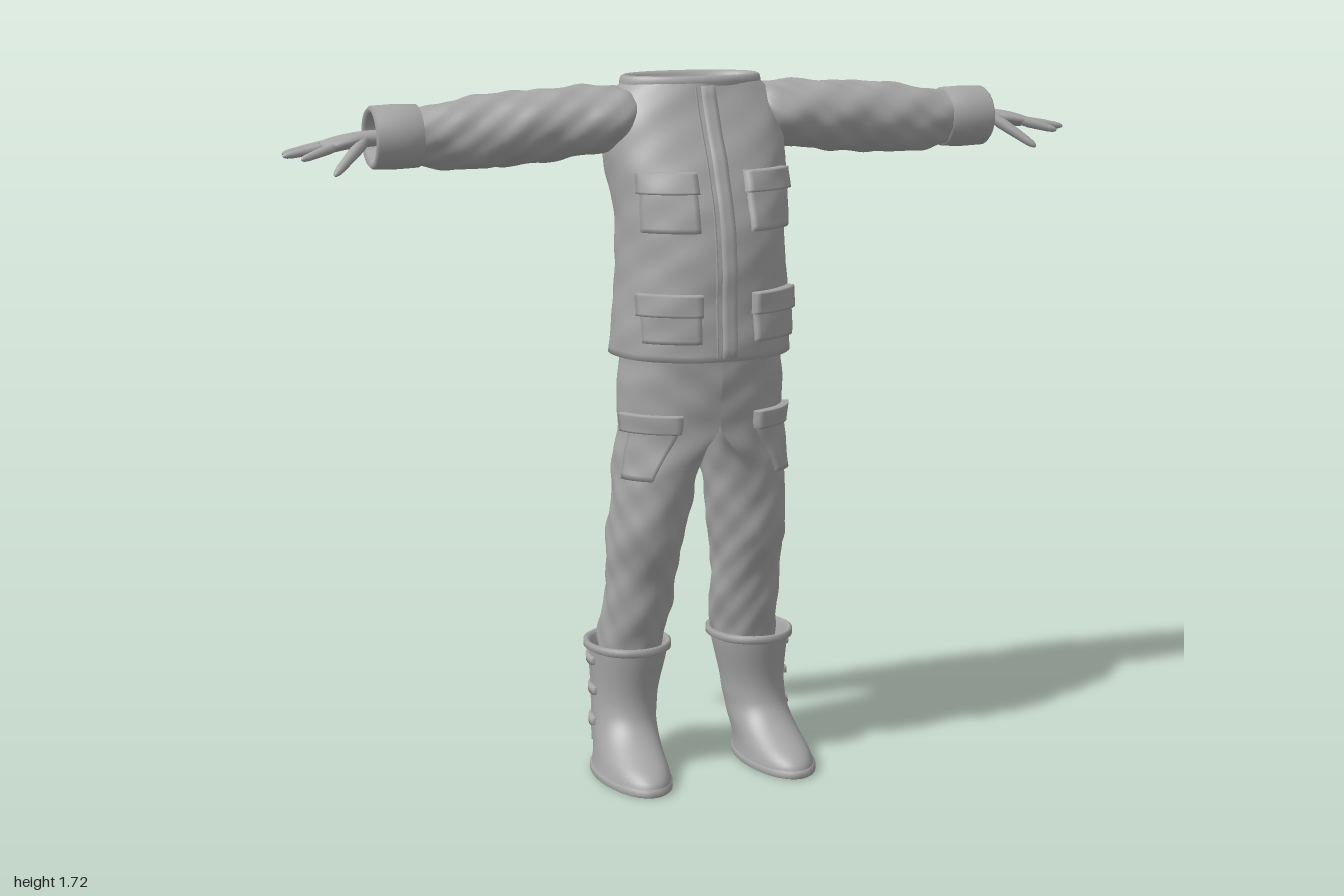
import * as THREE from 'three';

const cloth = new THREE.MeshStandardMaterial({ color: 0xa6a6a6, side: THREE.DoubleSide });
cloth.name = 'plain grey';
const V = (x, y, z) => new THREE.Vector3(x, y, z);
const span = (a, b, n) => Array.from({ length: n + 1 }, (_, i) => a + (b - a) * i / n);

// Skin a grid of points; rows run along the part, columns run round it
function loft(rows, { closed = true, cap = false, skip = null } = {}) {
  const n = rows[0].length, pos = [], idx = [];
  rows.forEach(r => r.forEach(p => pos.push(p.x, p.y, p.z)));
  for (let i = 0; i < rows.length - 1; i++) {
    for (let j = 0; j < (closed ? n : n - 1); j++) {
      const k = (j + 1) % n, a = i * n + j, b = i * n + k, c = a + n, d = b + n;
      if (skip && [rows[i][j], rows[i][k], rows[i + 1][j], rows[i + 1][k]].every(skip)) continue;
      idx.push(a, c, b, b, c, d);
    }
  }
  if (cap) [0, rows.length - 1].forEach(i => {
    const m = rows[i].reduce((s, p) => s.add(p), V(0, 0, 0)).divideScalar(n);
    const base = pos.length / 3;
    rows[i].forEach(p => pos.push(p.x, p.y, p.z));
    pos.push(m.x, m.y, m.z);
    for (let j = 0; j < n; j++) {
      const k = (j + 1) % n;
      idx.push(base + n, base + (i ? k : j), base + (i ? j : k));
    }
  });
  const g = new THREE.BufferGeometry();
  g.setAttribute('position', new THREE.Float32BufferAttribute(pos, 3));
  g.setIndex(idx);
  g.computeVertexNormals();
  return g;
}

function add(parent, name, geometry) {
  const m = new THREE.Mesh(geometry, cloth);
  m.name = name;
  parent.add(m);
}

// Smooth oval section from rows of [t, a0, a1, bFront, bBack, power]; lying runs along x, else along y
function section(table, amp = 0, lying = false) {
  const curve = new THREE.CubicInterpolant(table.map(r => r[0]), table.flatMap(r => r.slice(1)), table[0].length - 1);
  const dims = t => {
    const [a0, a1, f, b, n = 2] = curve.evaluate(t);
    return { ac: (a0 + a1) / 2, A: (a1 - a0) / 2, bc: (f + b) / 2, B: (f - b) / 2, n };
  };
  const at = (u, t, off = 0) => {
    const { ac, A, bc, B, n } = dims(t);
    const pw = c => Math.sign(c) * Math.abs(c) ** (2 / n);
    const w = off + amp * (Math.sin(3 * u + 27 * t) + 0.7 * Math.sin(5 * u - 46 * t + 1) + 0.6 * Math.sin(8 * u + 71 * t));
    const a = ac + (A + w) * pw(Math.cos(u)), b = (B + w) * pw(Math.sin(u));
    return lying ? V(t, a, bc - b) : V(a, t, bc + b);
  };
  const clamp = v => Math.max(-1, Math.min(1, v));
  const root = (v, n) => Math.sign(v) * Math.abs(v) ** (n / 2);
  at.byX = x => t => { const d = dims(t); return Math.acos(root(clamp((x - d.ac) / d.A), d.n)); };
  at.byZ = z => t => { const d = dims(t); return Math.asin(root(clamp((z - d.bc) / d.B), d.n)); };
  return at;
}
const skin = (at, t0, t1, rows, cols) => span(t0, t1, rows).map(t => span(0, Math.PI * 2, cols).slice(0, -1).map(u => at(u, t)));

// Raised panel that follows a section between two edges and two heights
function panel(at, u0, u1, y0, y1, thick, nu = 12, ny = 10) {
  const us = [0, ...span(0, 1, nu), 1], ys = [0, ...span(0, 1, ny), 1];
  return loft(ys.map((v, i) => us.map((s, j) => {
    const y = y0 + (y1 - y0) * v, edge = !i || !j || i === ys.length - 1 || j === us.length - 1;
    return at(u0(y) + (u1(y) - u0(y)) * s, y, edge ? -0.004 : thick);
  })), { closed: false });
}

// Rolled edge from rows of [t, ra, rb]
const rolled = (rows, ca, cz, lying = false) => loft(rows.map(([t, ra, rb]) =>
  span(0, Math.PI * 2, 40).slice(0, -1).map(u => lying
    ? V(t, ca + ra * Math.cos(u), cz - rb * Math.sin(u))
    : V(ca + ra * Math.cos(u), t, cz + rb * Math.sin(u)))));

// Tapered round-tipped finger
function finger(from, to, r0, r1) {
  const d = to.clone().sub(from).normalize();
  const e1 = V(0, 1, 0).addScaledVector(d, -d.y).normalize(), e2 = e1.clone().cross(d);
  return loft([[0, 0.8], [0.2, 1], [0.5, 1.02], [0.8, 1], [0.92, 0.85], [0.98, 0.5], [1, 0.1]].map(([t, k]) => {
    const r = (r0 + (r1 - r0) * t) * k, c = from.clone().lerp(to, t);
    return span(0, Math.PI * 2, 10).slice(0, -1).map(u =>
      c.clone().addScaledVector(e1, r * Math.cos(u)).addScaledVector(e2, r * Math.sin(u)));
  }), { cap: true });
}

function buildJacket(root) {
  const torso = section([
    [1.055, .222, .19, -.182, 2.1], [1.1, .219, .192, -.184, 2.1], [1.2, .212, .189, -.178, 2.1],
    [1.3, .206, .187, -.175, 2.1], [1.4, .207, .171, -.18, 2.15], [1.5, .221, .132, -.187, 2.3],
    [1.58, .222, .096, -.187, 2.4], [1.64, .21, .068, -.18, 2.4], [1.68, .188, .052, -.171, 2.2],
    [1.7, .172, .046, -.163, 2]].map(([y, w, f, b, n]) => [y, -w, w, f, b, n]), 0.0013);
  const rows = skin(torso, 1.055, 1.7, 44, 72);
  // Hem folds inward below; armholes stay open into the sleeves
  rows.unshift(...[[1.075, -.016], [1.055, -.01]].map(([y, o]) => rows[0].map((_, j) => torso(j / 72 * Math.PI * 2, y, o))));
  const armhole = p => Math.abs(p.x) > .15 && Math.hypot(p.y - 1.615, p.z + .065) < .055;
  add(root, 'jacketBody', loft(rows, { skip: armhole }));
  add(root, 'collar', rolled([[1.685, .176, .106], [1.7, .177, .109], [1.711, .174, .107], [1.715, .166, .099],
    [1.708, .154, .087], [1.68, .15, .083]], 0, -.06));
  add(root, 'zipPlacket', panel(torso, torso.byX(.018), torso.byX(-.016), 1.065, 1.692, .008, 3, 30));
  add(root, 'placketSeam', panel(torso, torso.byX(-.027), torso.byX(-.031), 1.065, 1.692, .003, 1, 30));
  const pocket = (name, x0, x1, y0, y1, t) => [1, -1].forEach(s => {
    const [a, b] = s > 0 ? [x1, x0] : [-x0, -x1];
    add(root, name, panel(torso, torso.byX(a), torso.byX(b), y0, y1, t));
  });
  pocket('chestPocket', .063, .178, 1.36, 1.47, .011);
  pocket('chestPocketFlap', .058, .182, 1.45, 1.5, .018);
  pocket('hipPocket', .066, .183, 1.1, 1.19, .011);
  pocket('hipPocketFlap', .062, .188, 1.165, 1.217, .018);
}

function buildSleeveAndHand(side) {
  const sleeve = section([
    [.13, 1.57, 1.66, .0, -.12], [.17, 1.545, 1.688, .035, -.168], [.22, 1.533, 1.692, .05, -.177],
    [.3, 1.525, 1.69, .045, -.172], [.45, 1.511, 1.684, .03, -.164], [.55, 1.505, 1.673, .02, -.155],
    [.62, 1.511, 1.663, .01, -.146], [.7, 1.525, 1.65, -.004, -.138]], .0024, true);
  add(side, 'sleeve', loft(skin(sleeve, .13, .7, 60, 44)));
  add(side, 'cuff', rolled([[.674, .06, .062], [.677, .073, .076], [.73, .075, .078], [.783, .073, .075], [.79, .066, .068],
    [.783, .056, .056], [.7, .052, .052]], 1.588, -.068, true));
  const palm = section([[.74, 1.57, 1.605, -.04, -.09], [.8, 1.567, 1.605, -.035, -.09], [.85, 1.563, 1.598, -.02, -.105],
    [.89, 1.558, 1.588, -.018, -.108], [.908, 1.565, 1.581, -.024, -.102]], 0, true);
  add(side, 'palm', loft(skin(palm, .74, .908, 14, 20), { cap: true }));
  [[-.028, .965, 1.55, -.002], [-.051, 1, 1.556, -.034], [-.076, .994, 1.558, -.07], [-.098, .957, 1.56, -.108]]
    .forEach(([z, x, y, tz]) => add(side, 'finger', finger(V(.88, 1.573, z), V(x, y, tz), .0125, .008)));
  add(side, 'thumb', finger(V(.805, 1.585, -.045), V(.895, 1.513, .022), .016, .009));
}

function buildTrouserLeg(side) {
  const tube = section([
    [.28, .08, .225, -.005, -.155], [.33, .07, .232, .005, -.165], [.4, .06, .228, .028, -.156],
    [.5, .053, .222, .052, -.136], [.6, .04, .227, .09, -.132], [.7, .025, .217, .108, -.136],
    [.8, .006, .212, .122, -.14], [.9, 0, .208, .138, -.14], [1, 0, .205, .148, -.14], [1.1, 0, .2, .152, -.14]], .0024);
  // Each leg widens into one half of the hips
  const leg = (u, y, off = 0) => {
    const p = tube(u, y, off), k = THREE.MathUtils.smoothstep(y, .74, .9);
    const half = Math.max(0, Math.cos(u)) * (tube(0, y).x + off);
    p.x = Math.max(0, p.x + (half - p.x) * k);
    return p;
  };
  add(side, 'trouserLeg', loft(skin(leg, .28, 1.1, 70, 48), { skip: p => p.y > .84 && p.x < .002 }));
  add(side, 'thighPocket', panel(leg, () => .36, () => 1.08, .76, .89, .012));
  add(side, 'thighPocketFlap', panel(leg, () => .2, () => 1.12, .875, .92, .018));
}

function buildBoot(side) {
  const boot = section([
    [.015, .105, .274, .193, -.15], [.03, .107, .27, .188, -.151], [.05, .108, .266, .162, -.151], [.07, .107, .262, .12, -.151],
    [.1, .103, .257, .066, -.152], [.13, .1, .253, .034, -.154], [.16, .095, .251, .021, -.157],
    [.2, .09, .25, .018, -.162], [.3, .068, .256, .037, -.18], [.315, .066, .257, .04, -.183]]);
  add(side, 'boot', loft(skin(boot, .015, .315, 36, 48)));
  add(side, 'bootSole', rolled([[0, .001, .001], [0, .082, .172], [.003, .087, .177], [.017, .087, .177], [.021, .08, .168]], .19, .022));
  add(side, 'bootRim', rolled([[.305, .098, .112], [.31, .107, .123], [.324, .107, .123], [.328, .1, .116],
    [.32, .09, .1], [.28, .085, .09]], .163, -.075));
  add(side, 'bootStrap', panel(boot, boot.byZ(-.135), boot.byZ(-.1), .065, .305, .005, 4, 14));
  [.28, .203, .125].forEach(y =>
    add(side, 'bootBuckle', panel(boot, boot.byZ(-.138), boot.byZ(-.058), y - .009, y + .009, .011, 6, 2)));
}

export function createModel() {
  const root = new THREE.Group();
  root.name = 'workwearOutfit';
  buildJacket(root);
  const left = new THREE.Group();
  left.name = 'leftSide';
  buildSleeveAndHand(left);
  buildTrouserLeg(left);
  buildBoot(left);
  const right = left.clone();
  right.name = 'rightSide';
  right.scale.x = -1;
  root.add(left, right);
  return root;
}
